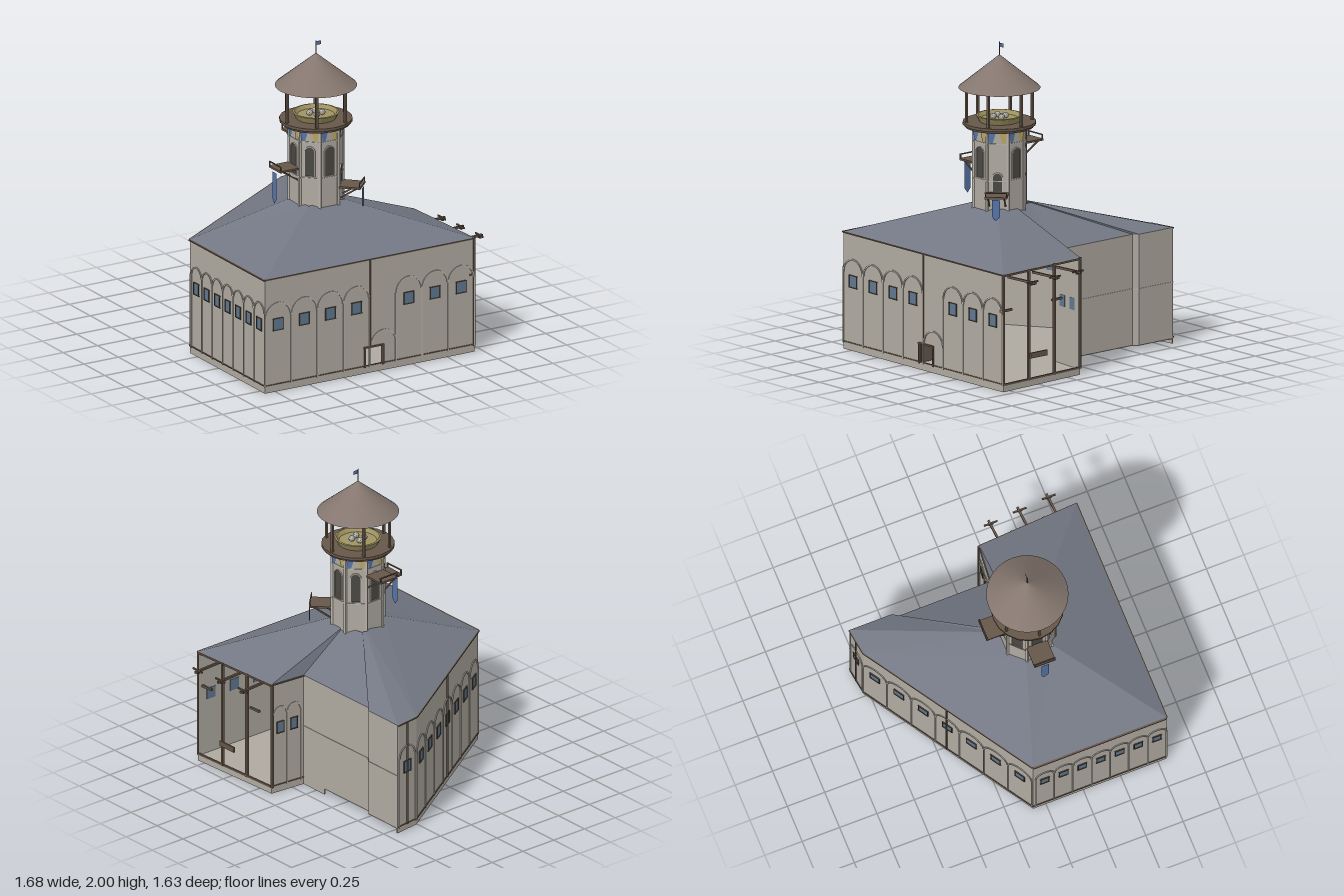
import * as THREE from 'three';

const mat = (color, extra = {}) => new THREE.MeshStandardMaterial({ color, flatShading: true, side: THREE.DoubleSide, ...extra });
const M = {
  wall: mat(0xb0aaa1), trim: mat(0xb9b3aa), wood: mat(0x67574a), darkWood: mat(0x54463b), slate: mat(0x737884),
  cone: mat(0x85776f, { flatShading: false }), glass: mat(0x5f7890), dark: mat(0x4b4842),
  blue: mat(0x5573a8), gold: mat(0xb8a55c), bowl: mat(0xa09462), ball: mat(0xb5b5b0),
};
const EAVE = 0.75, BASE = 0.04;

function add(parent, name, geo, material, x = 0, y = 0, z = 0) {
  const m = new THREE.Mesh(geo, material);
  m.name = name;
  m.position.set(x, y, z);
  parent.add(m);
  return m;
}
const box = (parent, name, material, w, h, d, x, y, z) =>
  add(parent, name, new THREE.BoxGeometry(w, h, d), material, x, y, z);

// square bar between two points
function beam(parent, name, a, b, t) {
  const p = new THREE.Vector3(...a), q = new THREE.Vector3(...b);
  const m = new THREE.Mesh(new THREE.BoxGeometry(t, t, p.distanceTo(q)), M.wood);
  m.name = name;
  m.position.copy(p).add(q).multiplyScalar(0.5);
  m.lookAt(q); // aim before parenting, so the aim stays local
  parent.add(m);
}
const outline = points => points.map(p => new THREE.Vector2(...p));
const flat = points => new THREE.ShapeGeometry(new THREE.Shape(outline(points)));
const extrude = (shape, depth) => new THREE.ExtrudeGeometry(shape, { depth, bevelEnabled: false, curveSegments: 10 });

function group(parent, name, x, y, z, ry = 0) {
  const g = new THREE.Group();
  g.name = name;
  g.position.set(x, y, z);
  g.rotation.y = ry;
  parent.add(g);
  return g;
}

// flat half-ring moulding
function archBand(parent, name, r, x, y) {
  const s = new THREE.Shape();
  s.absarc(0, 0, r, 0, Math.PI, false).absarc(0, 0, r - 0.009, Math.PI, 0, true);
  add(parent, name, extrude(s, 0.006), M.trim, x, y, 0);
}

// footprint corners (x, z) and the matching roof points beside the tower (x, y, z)
const plan = [[-0.825, 0.807], [0.697, 0.807], [0.658, 0.143], [0.415, 0.122], [0.412, -0.5], [0.438, -0.53], [0.438, -0.812], [0.265, -0.788], [-0.828, -0.088]];
const crown = [[-0.2, 0.97, 0.3], [0.06, 0.97, 0.3], [0.06, 0.97, 0.165], [0.06, 0.965, 0.155], [0.03, 0.965, 0.01], [0.03, 0.97, 0.01], [0.015, 0.97, 0], [0, 0.97, 0], [-0.22, 0.97, 0.11]];

// group along one plan edge: local x runs along it, z points out
function edge(parent, name, i) {
  const [ax, az] = plan[i], [bx, bz] = plan[(i + 1) % plan.length];
  return { g: group(parent, name + i, ax, 0, az, Math.atan2(-(bz - az), bx - ax)), L: Math.hypot(bx - ax, bz - az) };
}

// one wall with arcade windows
function wall(parent, i, { first = 0, pitch = 0, count = [], win = 0.07, door } = {}) {
  const { g, L } = edge(parent, 'wall', i);
  const s = new THREE.Shape(outline([[0, BASE], [L, BASE], [L, EAVE], [0, EAVE]]));
  if (door) s.holes.push(new THREE.Path(outline([[door - 0.065, 0.045], [door - 0.065, 0.165], [door + 0.065, 0.165], [door + 0.065, 0.045]])));
  add(g, 'wallPanel', extrude(s, 0.012), M.wall, 0, 0, -0.012);
  const r = pitch / 2, spring = 0.588 - r;
  for (const k of count) {
    const u = first + k * pitch;
    archBand(g, 'arch', r, u, spring);
    for (const e of [-1, 1]) {
      box(g, 'pilaster', M.trim, 0.008, spring - BASE, 0.01, u + e * pitch / 2, (spring + BASE) / 2, 0);
      box(g, 'windowJamb', M.darkWood, 0.005, 0.08, 0.014, u + e * win / 2, 0.443, 0);
      box(g, 'windowRail', M.darkWood, win + 0.008, 0.005, 0.014, u, 0.443 + e * 0.038, 0);
    }
    box(g, 'windowPane', M.glass, win, 0.075, 0.018, u, 0.443, -0.006);
  }
  return { g, L };
}

function buildHall(root) {
  const hall = group(root, 'hall', 0, 0, 0);
  // floor and ceiling slabs
  const sheet = new THREE.ShapeGeometry(new THREE.Shape(plan.map(([x, z]) => new THREE.Vector2(x, -z))));
  for (const [name, y] of [['floor', BASE - 0.003], ['ceiling', EAVE - 0.002]]) add(hall, name, sheet, M.wall, 0, y, 0).rotation.x = -Math.PI / 2;
  // hollow plinth skirt, [edge, length kept, bottom]; it stops part way along the notch
  for (const [i, keep, y0] of [[0, 9, 0], [1, 9, 0], [2, 9, 0], [3, 0.2, 0], [6, 9, 0.008], [7, 9, 0.008], [8, 9, 0]]) {
    const { g, L } = edge(hall, 'plinth', i);
    const w = Math.min(L, keep);
    box(g, 'plinthSkirt', M.wall, w, BASE - y0, 0.01, w / 2, (BASE + y0) / 2, -0.005);
  }

  const seq = n => Array.from({ length: n }, (_, i) => i);
  const arcades = {
    0: { first: 0.095, pitch: 0.19, count: [0, 1, 2, 3, 5, 6, 7], door: 0.79 },
    2: { first: 0.065, pitch: 0.105, count: seq(2), win: 0.05 },
    6: { first: 0.0875, pitch: 0.15, count: [0], win: 0.06 },
    7: { first: 0.09, pitch: 0.185, count: seq(7) },
    8: { first: 0.08, pitch: 0.125, count: seq(7), win: 0.055 },
  };
  for (let i = 0; i < plan.length; i++) {
    if (i === 1) continue; // the right end is an open timber front
    const { g, L } = wall(hall, i, arcades[i]);
    if (i >= 3 && i <= 5) box(g, 'stringCourse', M.trim, L, 0.006, 0.008, L / 2, 0.4, 0);
    if (!arcades[i]) continue;
    box(g, 'eaveBeam', M.wood, L, 0.008, i === 8 ? 0.024 : 0.014, L / 2, EAVE - 0.004, 0);
    box(g, 'sillBeam', M.wood, L, 0.007, 0.01, L / 2, 0.049, 0);
    if (i === 0) {
      // doorway, open door leaf, arch and post above
      const d = 0.79;
      for (const e of [-1, 1]) box(g, 'doorJamb', M.wood, 0.01, 0.13, 0.024, d + e * 0.067, 0.105, -0.004);
      box(g, 'doorLintel', M.wood, 0.145, 0.01, 0.024, d, 0.17, -0.004);
      box(g, 'doorLeaf', M.wood, 0.008, 0.11, 0.115, d - 0.062, 0.1, -0.065);
      archBand(g, 'doorArch', 0.095, 0.86, 0.175);
      box(g, 'doorArchPilaster', M.trim, 0.008, 0.135, 0.01, 0.951, 0.107, 0);
      box(g, 'wallPost', M.wood, 0.008, 0.57, 0.014, 0.765, 0.46, 0);
    }
    if (i === 6 || i === 7) box(g, 'wallPost', M.wood, 0.008, 0.7, 0.014, L / 2 - (i === 7 ? 0.01 : 0), 0.395, 0.002);
  }
  for (const i of [1, 2]) box(hall, 'cornerPost', M.wood, 0.014, 0.71, 0.014, plan[i][0] - 0.003, 0.395, plan[i][1] - 0.003);

  // open timber front with hoist beams, short rails and trough
  const front = group(hall, 'openFront', 0, 0, 0);
  const xAt = z => 0.658 + (z - 0.148) * 0.056;
  for (const z of [0.585, 0.365]) box(front, 'frontPost', M.wood, 0.016, 0.71, 0.016, xAt(z), 0.395, z);
  beam(front, 'frontHeader', [xAt(0.8), 0.742, 0.8], [xAt(0.15), 0.742, 0.15], 0.012);
  beam(front, 'frontSill', [xAt(0.8), 0.046, 0.8], [xAt(0.15), 0.046, 0.15], 0.012);
  for (const [a, b] of [[0.81, 0.71], [0.365, 0.28]]) beam(front, 'shortRail', [xAt(a) - 0.025, 0.51, a], [xAt(b) - 0.025, 0.51, b], 0.014);
  box(front, 'trough', M.wood, 0.012, 0.035, 0.135, 0.7, 0.2, 0.52);
  for (const [z, x] of [[0.27, 0.81], [0.47, 0.825], [0.67, 0.84]]) {
    beam(front, 'hoistBeam', [0.6, 0.7, z + 0.012], [x, 0.7, z - 0.006], 0.014);
    beam(front, 'hoistCrossbar', [x - 0.025, 0.705, z - 0.045], [x - 0.025, 0.705, z + 0.045], 0.01);
    box(front, 'hoistBlock', M.darkWood, 0.012, 0.016, 0.03, x - 0.025, 0.695, z);
  }

  // hipped roof: each eave rises to its piece of the crown
  const pos = [];
  plan.forEach(([x, z], i) => {
    const j = (i + 1) % plan.length;
    const a = [x, EAVE, z], b = [plan[j][0], EAVE, plan[j][1]];
    pos.push(...a, ...b, ...crown[j], ...a, ...crown[j], ...crown[i]);
  });
  const geo = new THREE.BufferGeometry();
  geo.setAttribute('position', new THREE.Float32BufferAttribute(pos, 3));
  geo.computeVertexNormals();
  add(hall, 'hallRoof', geo, M.slate);
}

// arched niche outline, base at y = 0
function archShape(w, h) {
  const s = new THREE.Shape();
  s.moveTo(-w, 0).lineTo(w, 0).lineTo(w, h - w).absarc(0, h - w, w, 0, Math.PI, false).lineTo(-w, 0);
  return s;
}
function niche(face, y, w, h, z) {
  const rim = archShape(w + 0.006, h + 0.006);
  rim.holes.push(new THREE.Path(archShape(w, h).getPoints(8)));
  add(face, 'nicheFrame', extrude(rim, 0.008), M.trim, 0, y, z);
  add(face, 'niche', new THREE.ShapeGeometry(archShape(w, h), 8), M.dark, 0, y, z + 0.002);
}

// bracketed balcony on a tower face; the banner hangs from drop[0] to drop[1] below it
function balcony(face, y, drop) {
  const b = group(face, 'balcony', 0, y, 0);
  box(b, 'balconyDeck', M.wood, 0.14, 0.012, 0.14, 0, 0, 0.23);
  for (const e of [-1, 1]) {
    beam(b, 'balconyBrace', [e * 0.05, -0.08, 0.16], [e * 0.05, -0.004, 0.28], 0.009);
    box(b, 'railPost', M.wood, 0.007, 0.03, 0.007, e * 0.065, 0.018, 0.295);
  }
  box(b, 'handRail', M.wood, 0.14, 0.007, 0.007, 0, 0.032, 0.295);
  if (!drop) return;
  const [top, tip] = drop;
  add(b, 'banner', flat([[-0.025, top], [-0.025, tip + 0.03], [0, tip], [0.025, tip + 0.03], [0.025, top]]), M.blue, 0, 0, 0.302);
}

function buildTower(root) {
  const t = group(root, 'tower', -0.072, 0, 0.175);
  const C = Math.cos(Math.PI / 8), R = 0.158;
  const prism = (name, r, y0, y1, m) =>
    add(t, name, new THREE.CylinderGeometry(r / C, r / C, y1 - y0, 8), m, 0, (y0 + y1) / 2, 0).rotation.y = Math.PI / 8;
  prism('towerShaft', R, 0.9, 1.465, M.wall);
  prism('sillBand', R + 0.004, 1.142, 1.15, M.trim);
  prism('upperBand', R + 0.004, 1.378, 1.386, M.trim);
  const disc = (name, r, y0, y1, m) => add(t, name, new THREE.CylinderGeometry(r, r, y1 - y0, 20), m, 0, (y0 + y1) / 2, 0);
  disc('galleryDeck', 0.229, 1.477, 1.495, M.wood);
  disc('galleryUnderside', 0.215, 1.462, 1.477, M.darkWood);

  const decks = { 1: [1.07, [-0.01, -0.145]], 6: [1.205, [-0.02, -0.225]], 4: [1.34] };
  for (let k = 0; k < 8; k++) {
    const f = group(t, 'towerFace', 0, 0, 0, k * Math.PI / 4);
    box(f, 'cornerRib', M.trim, 0.016, 0.56, 0.014, R * Math.tan(Math.PI / 8), 1.18, R);
    if (k === 1) niche(f, 1.08, 0.028, 0.115, R);
    else niche(f, 1.16, 0.03, 0.19, R);
    // pennants draped from the gallery corners
    [M.blue, M.gold].forEach((m, i) => {
      const e = i ? 1 : -1;
      add(f, 'pennant', flat([[e * 0.06, 1.462], [e * 0.008, 1.462], [e * 0.03, 1.39], [e * 0.05, 1.39]]), m, 0, 0, R + 0.006);
    });
    if (decks[k]) balcony(f, ...decks[k]);
  }

  // fire bowl with stones
  const profile = [[0, 1.495], [0.125, 1.495], [0.146, 1.535], [0.134, 1.537], [0.118, 1.512], [0, 1.512]];
  add(t, 'bowl', new THREE.LatheGeometry(outline(profile), 20), M.bowl);
  for (let i = 0; i < 4; i++) {
    const a = i * Math.PI / 2 + 0.4;
    add(t, 'stone', new THREE.IcosahedronGeometry(0.02, 1), M.ball, 0.04 * Math.cos(a), 1.528, 0.04 * Math.sin(a));
  }

  // canopy on six posts
  for (let i = 0; i < 6; i++) {
    const a = i * Math.PI / 3;
    box(t, 'canopyPost', M.wood, 0.015, 0.25, 0.015, 0.208 * Math.cos(a), 1.61, 0.208 * Math.sin(a));
  }
  add(t, 'canopyRoof', new THREE.ConeGeometry(0.256, 0.21, 32, 1, true), M.cone, 0, 1.815, 0);
  add(t, 'flagPole', new THREE.CylinderGeometry(0.004, 0.004, 0.1, 6), M.wood, 0, 1.95, 0);
  add(t, 'flag', flat([[0, 1.97], [0.038, 1.97], [0.038, 1.995], [0, 1.995]]), M.blue);
}

export function createModel() {
  const root = new THREE.Group();
  root.name = 'watchtowerHall';
  buildHall(root);
  buildTower(root);
  return root;
}
